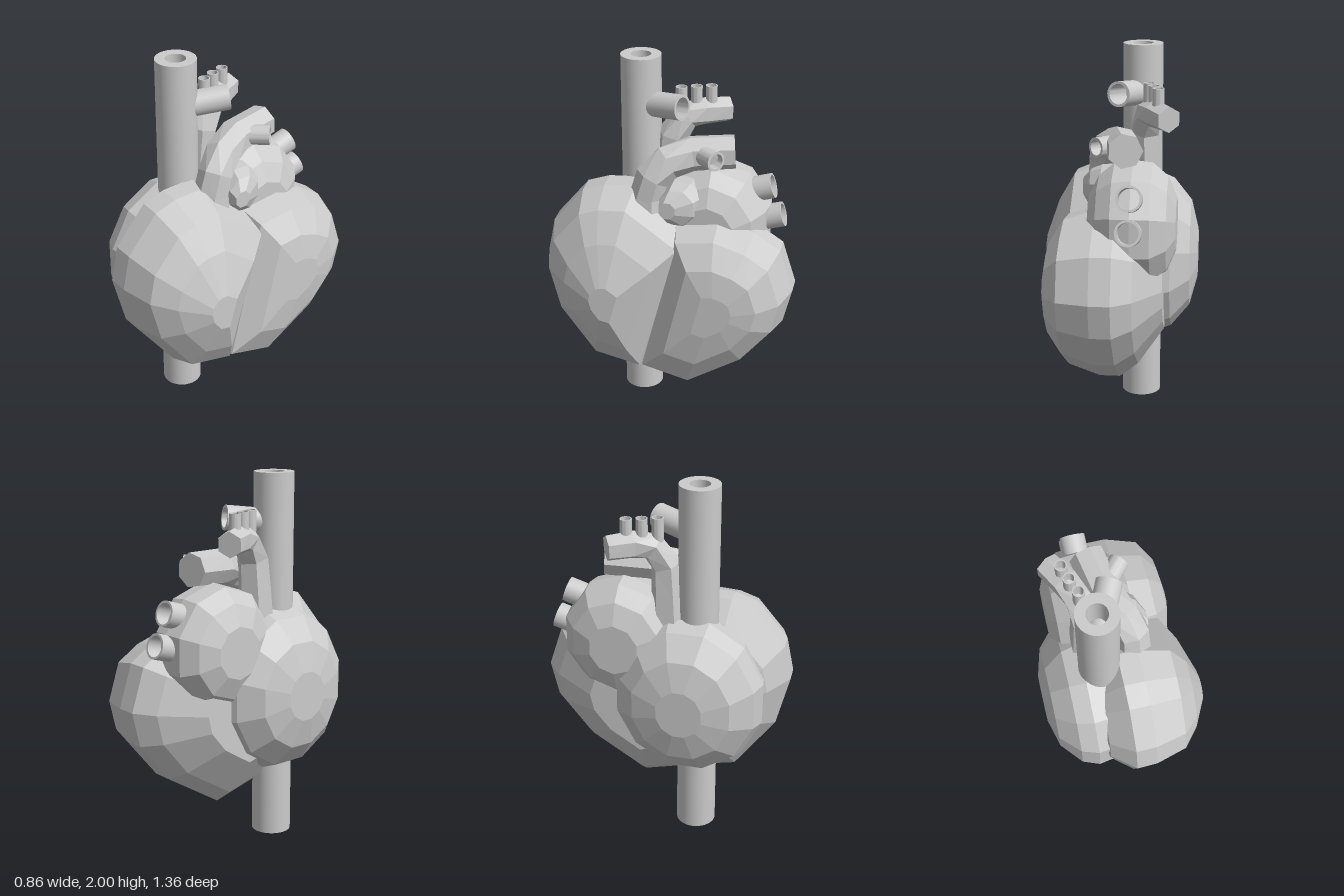
import * as THREE from 'three';
import { toCreasedNormals } from 'three/addons/utils/BufferGeometryUtils.js';

const V = (x, y, z) => new THREE.Vector3(x, y, z);
const faceted = new THREE.MeshStandardMaterial({ color: 0xcccccc, flatShading: true });
const smooth = new THREE.MeshStandardMaterial({ color: 0xcccccc, side: THREE.DoubleSide });

// Skin a row of equal-length rings and close both ends
function loft(rings) {
  const n = rings[0].length;
  const pos = [];
  const idx = [];
  rings.forEach((ring) => ring.forEach((p) => pos.push(p.x, p.y, p.z)));
  for (let i = 0; i < rings.length - 1; i++) {
    for (let j = 0; j < n; j++) {
      const a = i * n + j, b = i * n + ((j + 1) % n);
      idx.push(a, b, a + n, b, b + n, a + n);
    }
  }
  [0, rings.length - 1].forEach((r) => {
    const c = rings[r].reduce((s, p) => s.add(p), V(0, 0, 0)).divideScalar(n);
    const ci = pos.length / 3;
    pos.push(c.x, c.y, c.z);
    for (let j = 0; j < n; j++) {
      const a = r * n + j, b = r * n + ((j + 1) % n);
      if (r === 0) idx.push(ci, b, a);
      else idx.push(ci, a, b);
    }
  });
  // Turn the faces outward if the enclosed volume is negative
  const at = (i) => V(pos[3 * i], pos[3 * i + 1], pos[3 * i + 2]);
  let volume = 0;
  for (let i = 0; i < idx.length; i += 3) {
    volume += at(idx[i]).dot(at(idx[i + 1]).cross(at(idx[i + 2])));
  }
  if (volume < 0) idx.reverse();
  const g = new THREE.BufferGeometry();
  g.setAttribute('position', new THREE.Float32BufferAttribute(pos, 3));
  g.setIndex(idx);
  const flat = g.toNonIndexed();
  flat.computeVertexNormals();
  return flat;
}

// Chamber: a [z, y] outline shrunk towards its centre at each [x, scale, z shift]
function chamber(outline, [cz, cy], sections) {
  return loft(sections.map(([x, s, dz = 0]) =>
    outline.map(([z, y]) => V(x, cy + (y - cy) * s, cz + dz + (z - cz) * s))));
}

const oval = (cz, cy, rz, ry, n) => Array.from({ length: n }, (_, i) => {
  const a = ((i + 0.5) / n) * Math.PI * 2;
  return [cz + Math.cos(a) * rz, cy + Math.sin(a) * ry];
});

// Solid, many-sided vessel through [x, y, z, radius] stations
function vessel(stations, sides) {
  const pts = stations.map(([x, y, z]) => V(x, y, z));
  return loft(pts.map((p, i) => {
    const t = pts[Math.min(i + 1, pts.length - 1)].clone().sub(pts[Math.max(i - 1, 0)]).normalize();
    const u = V(1, 0, 0).addScaledVector(t, -t.x).normalize();
    const w = t.clone().cross(u);
    return Array.from({ length: sides }, (_, j) => {
      const a = ((j + 0.5) / sides) * Math.PI * 2;
      return p.clone()
        .addScaledVector(u, Math.cos(a) * stations[i][3])
        .addScaledVector(w, Math.sin(a) * stations[i][3]);
    });
  }));
}

// Round hollow pipe between two points
function pipe(from, to, outer, inner) {
  const a = V(...from), dir = V(...to).sub(a), h = dir.length();
  const profile = [[inner, 0], [outer, 0], [outer, h], [inner, h], [inner, 0]]
    .map(([r, y]) => new THREE.Vector2(r, y));
  const g = toCreasedNormals(new THREE.LatheGeometry(profile, 32), 0.6);
  g.applyQuaternion(new THREE.Quaternion().setFromUnitVectors(V(0, 1, 0), dir.normalize()));
  return g.translate(a.x, a.y, a.z);
}

export function createModel() {
  const heart = new THREE.Group();
  heart.name = 'heart';
  const add = (name, geometry, material = faceted) => {
    const mesh = new THREE.Mesh(geometry, material);
    mesh.name = name;
    heart.add(mesh);
  };

  // Ventricles, domed towards both sides; a flat facet on the front one forms the groove
  add('frontVentricle', chamber(
    [[0.18, 1.35], [0.35, 1.34], [0.47, 1.3], [0.64, 1.1], [0.68, 0.91], [0.61, 0.63],
      [0.39, 0.33], [0.1, 0.265], [-0.14, 1.12]],
    [0.28, 0.79],
    [[-0.2, 0.45], [-0.14, 0.74], [-0.02, 1], [0.09, 0.99], [0.26, 0.86], [0.35, 0.58], [0.428, 0.19]]));
  add('backVentricle', chamber(
    [[-0.12, 0.205], [-0.45, 0.41], [-0.63, 0.63], [-0.675, 0.82], [-0.6, 1.05], [-0.46, 1.14],
      [-0.27, 1.2], [-0.04, 1.17], [0.17, 0.28]],
    [-0.3, 0.77],
    [[-0.26, 0.5, 0.12], [-0.12, 0.86, 0.03], [-0.02, 1], [0.09, 1], [0.26, 0.87], [0.34, 0.58], [0.365, 0.25]]));

  // Atria
  add('rightAtrium', chamber(oval(0.165, 0.845, 0.415, 0.45, 12), [0.165, 0.845],
    [[0.02, 0.75], [-0.08, 0.95], [-0.2, 1], [-0.29, 0.92], [-0.39, 0.65], [-0.43, 0.3]]));
  add('leftAtrium', chamber(oval(-0.21, 1.12, 0.32, 0.335, 10), [-0.21, 1.12],
    [[0.13, 0.45], [0.08, 0.75], [0, 0.95], [-0.1, 1], [-0.2, 0.97], [-0.28, 0.76], [-0.325, 0.42]]));
  add('leftAuricle', chamber(oval(-0.07, 1.26, 0.13, 0.14, 8), [-0.07, 1.26],
    [[0, 1], [0.08, 0.95], [0.14, 0.75, 0.02], [0.185, 0.35, 0.06]]));

  // Great vessels
  add('pulmonaryTrunk', vessel(
    [[0.07, 1.14, 0.12, 0.12], [0.08, 1.3, 0.115, 0.095], [0.08, 1.4, 0.09, 0.092],
      [0.04, 1.475, 0.02, 0.095], [-0.02, 1.512, -0.1, 0.095], [-0.065, 1.525, -0.32, 0.092]], 7));
  add('aorta', vessel(
    [[-0.15, 1.15, 0.05, 0.1], [-0.145, 1.4, 0.04, 0.09], [-0.14, 1.56, 0.03, 0.085],
      [-0.165, 1.665, -0.04, 0.075], [-0.21, 1.68, -0.13, 0.075], [-0.28, 1.675, -0.245, 0.068]], 6));

  // Three small branches on the aortic arch
  [[-0.22, -0.16], [-0.195, -0.085], [-0.165, -0.01]].forEach(([x, z], i) =>
    add('archBranch' + (i + 1), pipe([x, 1.66, z], [x, 1.82, z], 0.031, 0.025), smooth));

  // Open side pipes and back veins
  add('upperPipe', pipe([-0.115, 1.735, 0.19], [-0.005, 1.765, -0.05], 0.067, 0.053), smooth);
  add('trunkBranch', pipe([-0.01, 1.52, -0.14], [0.092, 1.525, -0.25], 0.053, 0.04), smooth);
  add('upperVein', pipe([-0.1, 1.28, -0.35], [-0.1, 1.335, -0.525], 0.067, 0.055), smooth);
  add('lowerVein', pipe([-0.1, 1.12, -0.4], [-0.1, 1.175, -0.585], 0.067, 0.055), smooth);

  // Upright tube running through the whole heart
  add('uprightTube', pipe([-0.117, 0, 0.195], [-0.117, 2, 0.195], 0.107, 0.054), smooth);

  return heart;
}
